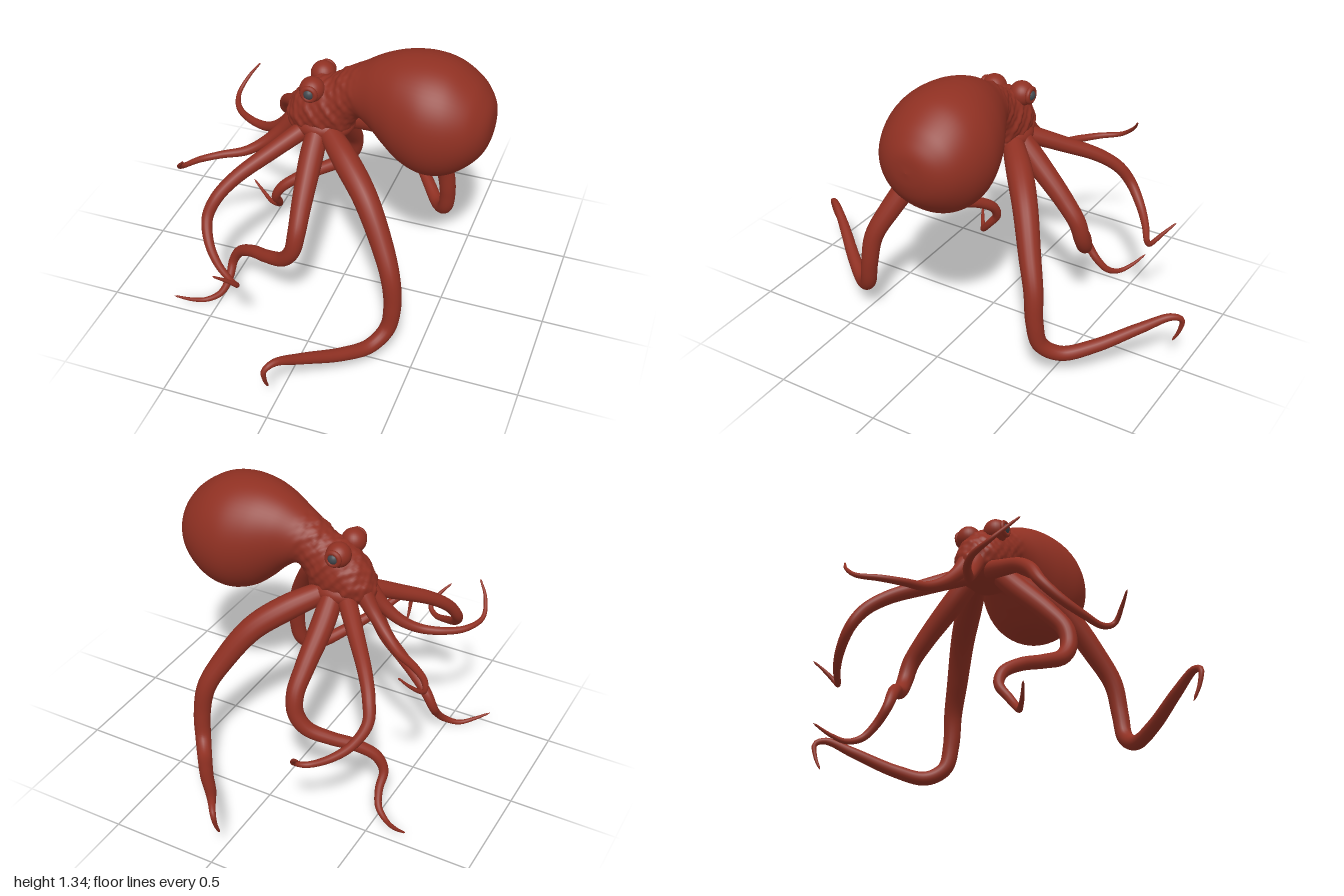
import * as THREE from 'three';

const skin = new THREE.MeshStandardMaterial({ color: 0x8f3022 });
const eyeDark = new THREE.MeshStandardMaterial({ color: 0x42484e });
const V = (x, y, z) => new THREE.Vector3(x, y, z);

// Skins closed rings of points (all the same length) into one smooth surface.
function loft(rings) {
  const n = rings[0].length, pos = [], index = [];
  rings.forEach(r => r.forEach(p => pos.push(p.x, p.y, p.z)));
  for (let i = 0; i < rings.length - 1; i++) {
    for (let j = 0; j < n; j++) {
      const a = i * n + j, b = i * n + (j + 1) % n;
      index.push(a, b, a + n, b, b + n, a + n);
    }
  }
  const geo = new THREE.BufferGeometry();
  geo.setAttribute('position', new THREE.Float32BufferAttribute(pos, 3));
  geo.setIndex(index);
  geo.computeVertexNormals();
  return geo;
}

function mesh(name, geo, mat = skin) {
  const m = new THREE.Mesh(geo, mat);
  m.name = name;
  return m;
}

// Tapered arm along points [x, y, z, radius]; side = 1 or -1 mirrors across z.
function armGeometry(points, side) {
  const path = new THREE.CatmullRomCurve3(points.map(p => V(p[0], p[1], p[2] * side)));
  const radii = new THREE.CatmullRomCurve3(points.map((p, i) => V(i, p[3], 0)));
  const steps = 110, sides = 18;
  const frames = path.computeFrenetFrames(steps);
  const rings = [];
  for (let i = 0; i <= steps; i++) {
    const t = path.getUtoTmapping(i / steps);
    const c = path.getPoint(t);
    const r = i === steps ? 0.0005 : radii.getPoint(t).y;
    rings.push(Array.from({ length: sides }, (_, j) => {
      const a = j / sides * Math.PI * 2;
      return c.clone()
        .addScaledVector(frames.normals[i], r * Math.cos(a))
        .addScaledVector(frames.binormals[i], r * Math.sin(a));
    }));
  }
  return loft(rings);
}

// Mantle and head sections, back to front: [topX, topY, bottomX, bottomY, halfWidth]
const BODY = [
  [0.69, 1.07, 0.69, 1.068, 0.001],
  [0.68, 1.15, 0.68, 0.99, 0.085],
  [0.65, 1.205, 0.655, 0.925, 0.145],
  [0.6, 1.26, 0.6, 0.86, 0.2],
  [0.5, 1.322, 0.51, 0.797, 0.245],
  [0.4, 1.343, 0.41, 0.782, 0.257],
  [0.28, 1.335, 0.31, 0.815, 0.23],
  [0.17, 1.298, 0.235, 0.875, 0.185],
  [0.08, 1.245, 0.165, 0.945, 0.14],
  [0, 1.2, 0.1, 0.985, 0.11],
  [-0.06, 1.155, 0.055, 0.94, 0.108],
  [-0.13, 1.135, 0.035, 0.885, 0.115],
  [-0.195, 1.085, -0.03, 0.865, 0.12],
  [-0.245, 1.02, -0.1, 0.86, 0.11],
  [-0.27, 0.95, -0.17, 0.86, 0.08],
  [-0.275, 0.89, -0.24, 0.86, 0.04],
  [-0.265, 0.87, -0.264, 0.869, 0.001],
];

function bodyGeometry() {
  const top = new THREE.CatmullRomCurve3(BODY.map(s => V(s[0], s[1], s[4])));
  const bottom = new THREE.CatmullRomCurve3(BODY.map(s => V(s[2], s[3], 0)));
  const rings = [], steps = 160, sides = 64;
  for (let i = 0; i <= steps; i++) {
    const a = top.getPoint(i / steps), b = bottom.getPoint(i / steps);
    const halfWidth = Math.max(a.z, 0.0005);
    a.z = 0;
    const c = a.clone().add(b).multiplyScalar(0.5);
    const up = a.sub(b).multiplyScalar(0.5);
    rings.push(Array.from({ length: sides }, (_, j) => {
      const t = j / sides * Math.PI * 2;
      const off = up.clone().multiplyScalar(Math.cos(t));
      off.z = -halfWidth * Math.sin(t);
      const p = c.clone().add(off);
      // Warty skin on the head, fading out on the mantle
      const rough = THREE.MathUtils.smoothstep(0.12 - p.x, 0, 0.12);
      const wart = Math.sin(p.x * 120) * Math.sin(p.y * 105 + 1) * Math.cos(p.z * 112)
        + 0.6 * Math.sin(p.x * 61 + p.y * 47) * Math.cos(p.z * 55);
      return p.addScaledVector(off.normalize(), 0.005 * rough * wart);
    }));
  }
  return loft(rings);
}

// Arm centre lines for the +z side: [x, y, z, radius]
const ARMS = {
  rearArm: [
    [-0.05, 0.9, 0.07, 0.05], [0.08, 0.835, 0.185, 0.06], [0.2, 0.745, 0.285, 0.057],
    [0.31, 0.58, 0.375, 0.05], [0.37, 0.45, 0.43, 0.044], [0.39, 0.3, 0.45, 0.04],
    [0.375, 0.18, 0.475, 0.037], [0.32, 0.125, 0.55, 0.034], [0.23, 0.155, 0.67, 0.031],
    [0.1, 0.235, 0.83, 0.025], [0.02, 0.288, 0.94, 0.017], [-0.01, 0.27, 0.98, 0.013],
    [-0.014, 0.2, 0.97, 0.009], [-0.013, 0.135, 0.94, 0.005],
  ],
  middleArm: [
    [-0.1, 0.92, 0.06, 0.05], [-0.1, 0.8, 0.17, 0.054], [-0.09, 0.65, 0.32, 0.046],
    [-0.085, 0.55, 0.4, 0.041], [-0.1, 0.46, 0.42, 0.038], [-0.15, 0.39, 0.41, 0.035],
    [-0.25, 0.34, 0.365, 0.031], [-0.35, 0.3, 0.31, 0.029], [-0.435, 0.24, 0.27, 0.026],
    [-0.472, 0.17, 0.27, 0.022], [-0.475, 0.1, 0.32, 0.019], [-0.5, 0.04, 0.37, 0.016],
    [-0.56, 0.012, 0.41, 0.012], [-0.62, 0.028, 0.45, 0.009], [-0.69, 0.065, 0.49, 0.004],
  ],
  foreArm: [
    [-0.15, 0.9, 0.05, 0.045], [-0.28, 0.82, 0.2, 0.038], [-0.4, 0.74, 0.34, 0.032],
    [-0.46, 0.67, 0.42, 0.029], [-0.485, 0.59, 0.475, 0.026], [-0.45, 0.51, 0.545, 0.022],
    [-0.38, 0.455, 0.61, 0.018], [-0.29, 0.424, 0.665, 0.014], [-0.25, 0.445, 0.7, 0.012],
    [-0.275, 0.5, 0.745, 0.009], [-0.32, 0.55, 0.79, 0.004],
  ],
  frontArm: [
    [-0.22, 0.93, 0.025, 0.045], [-0.29, 0.84, 0.042, 0.033], [-0.37, 0.765, 0.07, 0.026],
    [-0.45, 0.722, 0.11, 0.022], [-0.55, 0.71, 0.16, 0.018], [-0.63, 0.71, 0.23, 0.015],
    [-0.67, 0.728, 0.325, 0.011], [-0.645, 0.79, 0.4, 0.008], [-0.6, 0.85, 0.44, 0.004],
  ],
};

export function createModel() {
  const group = new THREE.Group();
  group.name = 'octopus';
  group.add(mesh('mantleAndHead', bodyGeometry()));

  // Web under the head where the arms meet
  const web = mesh('armWeb', new THREE.SphereGeometry(1, 32, 20));
  web.scale.set(0.15, 0.075, 0.13);
  web.position.set(-0.1, 0.91, 0);
  group.add(web);

  for (const side of [1, -1]) {
    const prefix = side > 0 ? 'near' : 'far';
    for (const [name, points] of Object.entries(ARMS)) {
      group.add(mesh(`${prefix} ${name}`, armGeometry(points, side)));
    }

    // Raised eye socket, lid ring and eyeball
    const socket = mesh(`${prefix} eyeSocket`, new THREE.SphereGeometry(0.058, 28, 20));
    socket.position.set(-0.125, 1.113, side * 0.072);
    const lid = mesh(`${prefix} eyelid`, new THREE.TorusGeometry(0.03, 0.012, 12, 28));
    lid.position.set(-0.123, 1.115, side * 0.12);
    const eye = mesh(`${prefix} eye`, new THREE.SphereGeometry(0.027, 24, 16), eyeDark);
    eye.position.set(-0.123, 1.115, side * 0.114);
    group.add(socket, lid, eye);
  }
  return group;
}
